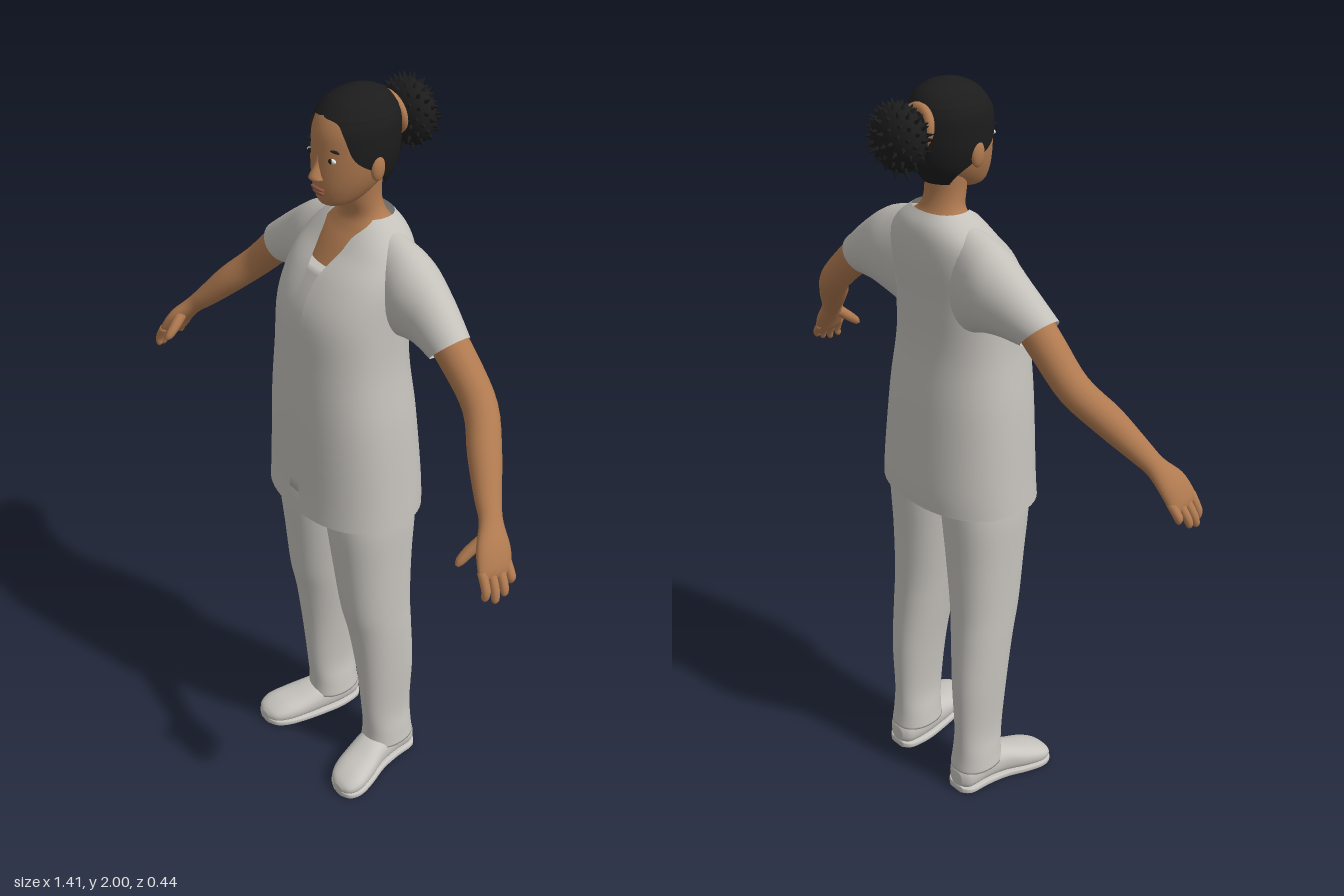
import * as THREE from 'three';
import { mergeGeometries } from 'three/addons/utils/BufferGeometryUtils.js';

const material = (name, color, side = THREE.FrontSide) => {
  const m = new THREE.MeshStandardMaterial({ color, side });
  m.name = name;
  return m;
};

// A ring is 11 numbers: centre xyz, axis u xyz, axis v xyz, squareness, half gap angle.
// Horizontal ring: height, half width, front z, back z, squareness, gap, centre x.
const level = (y, hx, zf, zb, p = 2, gap = 0, cx = 0) =>
  [cx, y, (zf + zb) / 2, 0, 0, (zf - zb) / 2, hx, 0, 0, p, gap];

// Smooth skin through rings, with optional caps at the start (s) and end (e).
function loft(rings, { n = 32, steps = 5, caps = 'se' } = {}) {
  const at = i => rings[Math.min(Math.max(i, 0), rings.length - 1)];
  const rows = [];
  for (let i = 0; i < rings.length - 1; i++)
    for (let s = 0; s < steps; s++) {
      const t = s / steps, [a, b, c, d] = [at(i - 1), at(i), at(i + 1), at(i + 2)];
      rows.push(b.map((_, k) => b[k] + 0.5 * t * (c[k] - a[k] +
        t * (2 * a[k] - 5 * b[k] + 4 * c[k] - d[k] + t * (3 * (b[k] - c[k]) + d[k] - a[k])))));
    }
  rows.push(at(rings.length));
  const open = rings.some(r => r[10] > 0), w = open ? n + 1 : n;
  const pos = [], idx = [];
  for (const r of rows)
    for (let j = 0; j < w; j++) {
      const gap = Math.max(r[10], 0), a = gap + (2 * Math.PI - 2 * gap) * j / n;
      const bend = q => Math.sign(q) * Math.abs(q) ** (2 / r[9]);
      const cu = bend(Math.cos(a)), cv = bend(Math.sin(a));
      for (let k = 0; k < 3; k++) pos.push(r[k] + r[k + 3] * cu + r[k + 6] * cv);
    }
  for (let i = 0; i < rows.length - 1; i++)
    for (let j = 0; j < n; j++) {
      const k = (j + 1) % w, a = i * w + j, b = i * w + k;
      idx.push(a, b, b + w, a, b + w, a + w);
    }
  const cap = (row, flip) => {
    const c = pos.length / 3, o = row * w;
    pos.push(...rows[row].slice(0, 3));
    for (let j = 0; j < n; j++) {
      const a = o + j, b = o + (j + 1) % w;
      idx.push(c, flip ? b : a, flip ? a : b);
    }
  };
  if (caps.includes('s')) cap(0, true);
  if (caps.includes('e')) cap(rows.length - 1, false);
  const g = new THREE.BufferGeometry();
  g.setAttribute('position', new THREE.Float32BufferAttribute(pos, 3));
  g.setIndex(idx);
  g.computeVertexNormals();
  return g;
}

// Limb along points [x, y, z, thickness, breadth].
function limb(points, n = 20, steps = 4) {
  const P = points.map(p => new THREE.Vector3(p[0], p[1], p[2]));
  return loft(points.map((p, i) => {
    const t = P[Math.min(i + 1, P.length - 1)].clone().sub(P[Math.max(i - 1, 0)]).normalize();
    const v = new THREE.Vector3(0, 0, 1).addScaledVector(t, -t.z).normalize();
    const u = v.clone().cross(t);
    return [...P[i].toArray(), ...u.multiplyScalar(p[3]).toArray(), ...v.multiplyScalar(p[4]).toArray(), 2, 0];
  }), { n, steps });
}

function mirrored(geo) {
  const g = geo.clone().scale(-1, 1, 1), ix = g.index.array;
  for (let i = 0; i < ix.length; i += 3) [ix[i], ix[i + 1]] = [ix[i + 1], ix[i]];
  g.computeVertexNormals();
  return g;
}

const ball = (x, y, z, rx, ry, rz) =>
  new THREE.SphereGeometry(1, 20, 14).scale(rx, ry, rz).translate(x, y, z);

export function createModel() {
  const model = new THREE.Group();
  const skin = material('skin', 0xb07a50);
  const shirt = material('shirt cloth', 0xc4c1bb, THREE.DoubleSide);
  const trousers = material('trouser cloth', 0xc8c5bf, THREE.DoubleSide);
  const shoes = material('shoe', 0xc8c5c0);
  const hair = material('hair', 0x1c1c1c, THREE.DoubleSide);
  const lip = material('lip', 0x8a5440);
  const white = material('eye white', 0xe0dcd6);
  const add = (name, geo, mat) => {
    const m = new THREE.Mesh(geo, mat);
    m.name = name;
    model.add(m);
  };
  const pair = (name, geo, mat) => {
    add(name + 'Left', geo, mat);
    add(name + 'Right', mirrored(geo), mat);
  };

  // Tunic, open down the front and widening to a V neck
  const tunic = [
    [0.92, 0.222, 0.21, -0.12, 0.018], [1.0, 0.215, 0.207, -0.12, 0.018],
    [1.2, 0.198, 0.203, -0.105, 0.018], [1.35, 0.178, 0.196, -0.09, 0.018],
    [1.48, 0.172, 0.185, -0.095, 0.018], [1.57, 0.168, 0.142, -0.105, 0.02],
    [1.63, 0.15, 0.09, -0.105, 0.042], [1.67, 0.115, 0.06, -0.097, 0.055],
    [1.7, 0.075, 0.035, -0.078, 0.066]];
  add('tunic', loft(tunic.map(([y, hx, zf, zb, g]) =>
    level(y, hx, zf, zb, 2.3, Math.asin((g / hx) ** 1.15))), { n: 64, caps: '' }), shirt);
  add('placket', loft([
    level(0.965, 0.205, 0.196, -0.1, 2.3), level(1.2, 0.186, 0.192, -0.09, 2.3),
    level(1.35, 0.166, 0.185, -0.08, 2.3), level(1.48, 0.16, 0.174, -0.085, 2.3),
    level(1.585, 0.15, 0.122, -0.09, 2.3)], { n: 48 }), shirt);

  // Sleeves: [top x, top y, bottom x, bottom y, centre z, half depth]
  pair('sleeve', loft([
    [0.07, 1.685, 0.1, 1.4, -0.02, 0.06], [0.18, 1.653, 0.165, 1.43, -0.02, 0.075],
    [0.27, 1.594, 0.225, 1.44, -0.018, 0.063], [0.365, 1.517, 0.287, 1.436, -0.008, 0.05],
  ].map(([tx, ty, bx, by, z, d]) =>
    [(tx + bx) / 2, (ty + by) / 2, z, (tx - bx) / 2, (ty - by) / 2, 0, 0, 0, d, 2, 0]),
  { caps: 's' }), shirt);

  // Trousers: [height, inner x, outer x, front z, back z]
  pair('trouserLeg', loft([
    [0.07, 0.066, 0.192, 0.074, -0.08], [0.12, 0.072, 0.186, 0.072, -0.075],
    [0.2, 0.08, 0.178, 0.08, -0.074], [0.35, 0.068, 0.186, 0.093, -0.078],
    [0.5, 0.048, 0.192, 0.112, -0.07], [0.6, 0.035, 0.194, 0.132, -0.066],
    [0.75, 0.016, 0.198, 0.148, -0.07], [0.9, 0.002, 0.202, 0.163, -0.08],
    [1.0, 0, 0.19, 0.16, -0.08],
  ].map(([y, i, o, zf, zb]) => level(y, (o - i) / 2, zf, zb, 2.2, 0, (o + i) / 2))), trousers);
  add('trouserSeat', loft([level(0.925, 0.12, 0.12, -0.05, 2.4),
    level(0.95, 0.19, 0.16, -0.085, 2.4), level(1.05, 0.19, 0.16, -0.085, 2.4)]), trousers);

  // Shoes, toes turned out: [z, centre x, half width, top y, bottom y]
  const foot = [
    [-0.082, 0.13, 0.022, 0.065, 0.02], [-0.06, 0.13, 0.044, 0.09, 0.006],
    [0, 0.13, 0.05, 0.1, 0.006], [0.06, 0.14, 0.052, 0.096, 0.006],
    [0.12, 0.158, 0.058, 0.077, 0.006], [0.17, 0.172, 0.057, 0.063, 0.006],
    [0.203, 0.178, 0.042, 0.047, 0.01], [0.217, 0.18, 0.016, 0.032, 0.014]];
  const across = (z, cx, hw, top, bot, p) =>
    [cx, (top + bot) / 2, z, hw, 0, 0, 0, (top - bot) / 2, 0, p, 0];
  pair('shoe', loft(foot.map(([z, cx, hw, t, b]) => across(z, cx, hw, t, b, 2.4))), shoes);
  pair('sole', loft(foot.map(([z, cx, hw]) => across(z, cx, hw + 0.003, 0.02, 0, 5))), shoes);

  // Neck, chest and arms
  add('neckAndChest', loft([
    level(1.54, 0.14, 0.13, -0.08), level(1.63, 0.125, 0.074, -0.09),
    level(1.67, 0.095, 0.046, -0.08), level(1.7, 0.062, 0.034, -0.062),
    level(1.74, 0.053, 0.042, -0.053), level(1.8, 0.056, 0.05, -0.056)]), skin);
  pair('arm', limb([
    [0.27, 1.525, -0.01, 0.05, 0.045], [0.36, 1.45, -0.012, 0.045, 0.043],
    [0.44, 1.375, -0.005, 0.041, 0.041], [0.51, 1.305, 0.04, 0.038, 0.04],
    [0.57, 1.24, 0.08, 0.029, 0.032], [0.605, 1.205, 0.1, 0.023, 0.029],
    [0.64, 1.165, 0.122, 0.022, 0.044], [0.663, 1.125, 0.136, 0.017, 0.046],
    [0.67, 1.107, 0.14, 0.01, 0.04]]), skin);
  const tips = [[0.685, 1.083, 0.104], [0.695, 1.066, 0.132], [0.694, 1.058, 0.158], [0.682, 1.066, 0.178]];
  tips.forEach(([x, y, z], i) => {
    const o = (i - 1.5) * 0.024;
    pair('finger' + (i + 1), limb([[0.66, 1.13, 0.135 + o, 0.011, 0.012],
      [(0.668 + x) / 2 + 0.006, (1.12 + y) / 2, (0.137 + o + z) / 2, 0.011, 0.011],
      [x, y + 0.008, z, 0.009, 0.009], [x, y, z + 0.001, 0.004, 0.004]], 10, 3), skin);
  });
  pair('thumb', limb([[0.622, 1.185, 0.128, 0.015, 0.016], [0.61, 1.155, 0.165, 0.014, 0.014],
    [0.606, 1.135, 0.188, 0.011, 0.011], [0.607, 1.126, 0.198, 0.004, 0.004]], 10, 3), skin);

  // Head and face
  add('head', loft([
    level(1.738, 0.02, 0.09, 0.04), level(1.748, 0.042, 0.107, 0.005),
    level(1.78, 0.064, 0.117, -0.045), level(1.82, 0.079, 0.119, -0.075),
    level(1.87, 0.087, 0.116, -0.09), level(1.92, 0.087, 0.109, -0.094),
    level(1.96, 0.07, 0.085, -0.08), level(1.985, 0.035, 0.04, -0.045)]), skin);
  add('nose', loft([
    level(1.803, 0.008, 0.118, 0.1), level(1.81, 0.02, 0.135, 0.095),
    level(1.82, 0.016, 0.137, 0.095), level(1.845, 0.01, 0.122, 0.09),
    level(1.868, 0.008, 0.116, 0.09)], { n: 16, steps: 3 }), skin);
  add('upperLip', ball(0, 1.786, 0.116, 0.024, 0.005, 0.008), lip);
  add('lowerLip', ball(0, 1.777, 0.114, 0.021, 0.006, 0.008), lip);
  pair('ear', ball(0.088, 1.838, 0.016, 0.011, 0.032, 0.019).rotateY(0.02), skin);
  pair('eye', ball(0.038, 1.861, 0.104, 0.014, 0.006, 0.006), white);
  pair('pupil', ball(0.038, 1.861, 0.108, 0.006, 0.006, 0.004), hair);
  pair('eyebrow', ball(0.04, 1.884, 0.102, 0.019, 0.003, 0.005).rotateY(0.02), hair);

  // Swept-back hair with a curved hairline
  add('hairCap', loft([
    level(1.765, 0.062, 0.1, -0.062, 2, 2.3), level(1.8, 0.08, 0.12, -0.086, 2, 1.95),
    level(1.83, 0.089, 0.124, -0.096, 2, 1.5), level(1.865, 0.094, 0.122, -0.1, 2, 1.0),
    level(1.92, 0.093, 0.115, -0.101, 2, 0.72), level(1.945, 0.085, 0.103, -0.095, 2, 0.5),
    level(1.954, 0.08, 0.097, -0.091), level(1.976, 0.062, 0.075, -0.075),
    level(1.993, 0.034, 0.04, -0.045), level(2.0, 0.006, 0.008, -0.008)], { n: 48, caps: 'e' }), hair);

  // Hair tie and spiky bun
  add('hairTie', new THREE.TorusGeometry(0.044, 0.011, 10, 32).rotateX(0.2).translate(-0.012, 1.908, -0.103), skin);
  const spikes = [ball(0, 0, 0, 0.08, 0.078, 0.05)];
  const up = new THREE.Vector3(0, 1, 0);
  for (let i = 0; i < 110; i++) {
    const z = 1 - 2 * (i + 0.5) / 110, r = Math.sqrt(1 - z * z), a = i * 2.39996;
    const d = new THREE.Vector3(r * Math.cos(a), r * Math.sin(a), z);
    const len = 0.028 + 0.012 * Math.sin(i * 5.3);
    const q = new THREE.Quaternion().setFromUnitVectors(up, d);
    spikes.push(new THREE.ConeGeometry(0.011, len, 5).applyQuaternion(q)
      .translate(d.x * 0.08, d.y * 0.078, d.z * 0.05));
  }
  add('bun', mergeGeometries(spikes).translate(-0.013, 1.893, -0.157), hair);
  return model;
}
